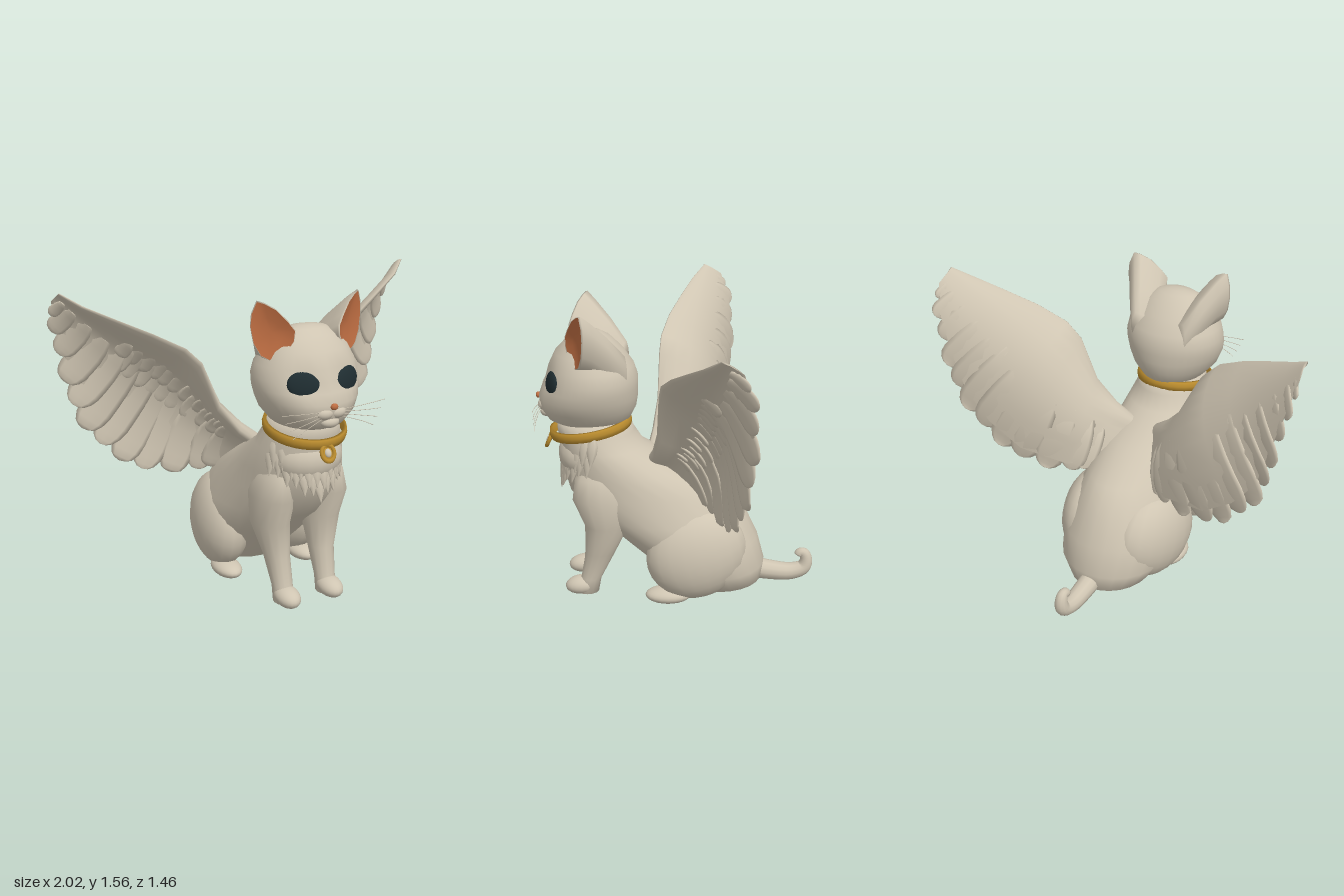
import * as THREE from 'three';

const mat = (name, color) => {
  const m = new THREE.MeshStandardMaterial({ color });
  m.name = name;
  return m;
};
const cream = mat('cream fur', 0xcfc5b2);
const orange = mat('ear orange', 0xbd6d42);
const gold = mat('collar gold', 0xb98b2e);
const dark = mat('eye dark', 0x1f2d31);

const V = (x, y, z) => new THREE.Vector3(x, y, z);
const mix = (p, q, t) => p.clone().lerp(q, t);

// closed skin over rows of points; winding follows the direction of the rows
function skin(rows, { start = true, end = true, flip = false } = {}) {
  const n = rows[0].length, pos = [], idx = [];
  const mid = row => row.reduce((s, p) => s.add(p), V(0, 0, 0)).divideScalar(n);
  rows.forEach(row => row.forEach(p => pos.push(p.x, p.y, p.z)));
  const k = rows.length >> 1, c = mid(rows[k]), area = V(0, 0, 0);
  rows[k].forEach((p, i) => area.add(p.clone().sub(c).cross(rows[k][(i + 1) % n].clone().sub(c))));
  const c0 = mid(rows[0]), c1 = mid(rows.at(-1));
  const ccw = (area.dot(c1.clone().sub(c0)) > 0) !== flip;
  const tri = (a, b, d) => (ccw ? idx.push(a, b, d) : idx.push(a, d, b));
  for (let r = 0; r < rows.length - 1; r++) for (let i = 0; i < n; i++) {
    const a = r * n + i, b = r * n + (i + 1) % n;
    tri(a, b, b + n);
    tri(a, b + n, a + n);
  }
  const cap = (centre, base, isEnd) => {
    const m = pos.length / 3;
    pos.push(centre.x, centre.y, centre.z);
    for (let i = 0; i < n; i++) {
      const p = base + i, q = base + (i + 1) % n;
      isEnd ? tri(m, p, q) : tri(m, q, p);
    }
  };
  if (start) cap(c0, 0, false);
  if (end) cap(c1, (rows.length - 1) * n, true);
  const g = new THREE.BufferGeometry();
  g.setAttribute('position', new THREE.Float32BufferAttribute(pos, 3));
  g.setIndex(idx);
  g.computeVertexNormals();
  return g;
}

// elliptical sections, each given as [centre, axisA, axisB]
const loft = (sections, sides = 16) => skin(sections.map(([c, a, b]) =>
  Array.from({ length: sides }, (_, i) => {
    const t = i / sides * Math.PI * 2;
    return c.clone().addScaledVector(a, Math.cos(t)).addScaledVector(b, Math.sin(t));
  })));

// horizontal sections [y, zBack, zFront, halfWidth, centreX]
const stack = (rows, s = 1, sides = 20) => loft(rows.map(([y, zb, zf, hw, cx = 0]) =>
  [V(s * cx, y, (zb + zf) / 2), V(hw, 0, 0), V(0, 0, (zf - zb) / 2)]), sides);

// thin blade along path(t), used for feathers and fur tufts; profile holds [t, width]
function blade(path, normal, w, thick, profile) {
  const a = path(1).sub(path(0)).cross(normal).normalize();
  return loft(profile.map(([t, k]) => [path(t), a.clone().multiplyScalar(w * k),
    normal.clone().multiplyScalar(thick * Math.min(1, k + 0.1))]), 8);
}
const FEATHER = [[0, 0.5], [0.2, 0.8], [0.4, 0.95], [0.6, 1], [0.75, 1], [0.86, 0.88], [0.94, 0.65], [0.985, 0.35], [1, 0.05]];
const TUFT = [[0, 0.5], [0.25, 1], [0.5, 0.9], [0.75, 0.5], [1, 0.04]];

// wing stations from shoulder to tip: leading edge, trailing edge, half thickness, camber
const WING = [
  [[0.05, 0.76, 0.15], [0.05, 0.58, 0.00], 0.04, 0],
  [[0.17, 0.85, 0.12], [0.20, 0.58, -0.13], 0.05, 0.04],
  [[0.28, 0.97, 0.10], [0.31, 0.54, -0.19], 0.045, 0.10],
  [[0.37, 1.19, 0.09], [0.58, 0.58, -0.25], 0.04, 0.14],
  [[0.45, 1.27, 0.08], [0.76, 0.72, -0.29], 0.035, 0.14],
  [[0.60, 1.35, 0.035], [0.88, 0.89, -0.315], 0.028, 0.11],
  [[0.75, 1.42, -0.03], [0.93, 1.11, -0.335], 0.022, 0.07],
  [[0.90, 1.49, -0.10], [0.98, 1.34, -0.33], 0.016, 0.035],
  [[0.99, 1.55, -0.17], [1.00, 1.49, -0.275], 0.008, 0.01]];
// thickness along the chord, with a rounded arm near the leading edge
const CHORD = [[0, 0.1], [0.03, 0.65], [0.09, 1], [0.18, 1], [0.27, 0.7], [0.36, 0.4], [0.5, 0.3], [0.7, 0.25], [0.93, 0.12]];

function makeWing(s, add) {
  const st = WING.map(([l, t, h, c]) => ({ L: V(s * l[0], l[1], l[2]), T: V(s * t[0], t[1], t[2]), h, c }));
  // section at station u: front normal and a point at chord fraction f
  const at = u => {
    const i = Math.min(st.length - 2, Math.floor(u)), t = u - i, A = st[i], B = st[i + 1];
    const L = mix(A.L, B.L, t), T = mix(A.T, B.T, t), camber = A.c + (B.c - A.c) * t;
    const span = B.L.clone().add(B.T).sub(A.L).sub(A.T);
    const n = span.cross(T.clone().sub(L)).normalize().multiplyScalar(-s);
    const pt = (f, lift = 0) => mix(L, T, f)
      .addScaledVector(n, lift - camber * Math.sin(Math.PI * Math.min(1, f) ** 0.9));
    return { n, pt };
  };
  add('wingSurface', skin(st.map(({ h }, i) => {
    const { pt } = at(i);
    return [...CHORD.map(([f, k]) => pt(f, -h * k * 0.6)), ...CHORD.toReversed().map(([f, k]) => pt(f, h * k))];
  })), cream);
  // broad flight feathers
  [1.25, 1.8, 2.4, 2.95, 3.5, 4.1, 4.7, 5.3, 5.9, 6.5, 7.05, 7.6].forEach((u, i) => {
    const { n, pt } = at(u);
    const w = [0.06, 0.07, 0.085, 0.09, 0.09, 0.09, 0.09, 0.085, 0.08, 0.065, 0.05, 0.03][i];
    add('flightFeather', blade(t => pt(0.4 + t * (i % 2 ? 0.61 : 0.64), 0.008), n, w, 0.01, FEATHER), cream);
  });
  // small covert feathers below the arm
  [[0.3, 0.56], [0.24, 0.43]].forEach(([f0, f1], row) => {
    for (let i = 0; i < 10; i++) {
      const { n, pt } = at(1.3 + (i + row * 0.5) * 0.42);
      add('covertFeather', blade(t => pt(f0 + t * (f1 - f0), 0.012 + row * 0.005), n, 0.042, 0.01, FEATHER), cream);
    }
  });
}

// ear outline: u runs outward, v upward
const EAR = [[0.07, 0.16], [0.095, 0.1], [0.1, 0.04], [0.085, -0.04], [0.05, -0.1], [0.01, -0.12],
  [-0.07, -0.085], [-0.105, -0.03], [-0.11, 0.02], [-0.075, 0.065], [-0.02, 0.12], [0.035, 0.15]];

function makeEar(s, add) {
  const c = 0.88, k = 0.47;
  const ring = (size, depth, drop = 0) => EAR.map(([u, v]) => V(
    s * (0.215 + u * size * c + depth * k), 1.4 + v * size + drop, 0.503 - u * size * k + depth * c));
  add('ear', skin([ring(0.95, -0.006), ring(0.98, 0.002), ring(1, -0.008), ring(0.92, -0.06, -0.028),
    ring(0.85, -0.15, -0.1), ring(0.72, -0.25, -0.19)], { start: false }), cream);
  add('innerEar', skin([ring(0.97, -0.001), ring(0.5, -0.016)], { start: false, flip: true }), orange);
}

// head with shallow eye sockets
function makeHead() {
  const g = stack([[0.93, 0.28, 0.58, 0.13], [0.97, 0.24, 0.665, 0.175], [1.03, 0.21, 0.702, 0.225],
    [1.09, 0.2, 0.708, 0.25], [1.14, 0.2, 0.69, 0.262], [1.19, 0.2, 0.67, 0.263], [1.25, 0.22, 0.652, 0.25],
    [1.32, 0.27, 0.618, 0.21], [1.38, 0.33, 0.56, 0.16], [1.41, 0.38, 0.52, 0.1], [1.42, 0.42, 0.48, 0.04]], 1, 36);
  const p = g.attributes.position;
  for (let i = 0; i < p.count; i++) if (p.getZ(i) > 0.5) {
    const d = Math.hypot((Math.abs(p.getX(i)) - 0.105) / 0.06, (p.getY(i) - 1.18) / 0.055);
    p.setZ(i, p.getZ(i) - 0.02 * Math.exp(-d * d));
  }
  g.computeVertexNormals();
  return g;
}

export function createModel() {
  const root = new THREE.Group();
  root.name = 'wingedCat';
  const add = (name, geo, material) => {
    const m = new THREE.Mesh(geo, material);
    m.name = name;
    root.add(m);
    return m;
  };
  const ball = (name, p, r, material = cream, rot = [0, 0, 0]) => {
    const m = add(name, new THREE.SphereGeometry(1, 20, 14), material);
    m.position.set(...p);
    m.scale.set(...r);
    m.rotation.set(...rot);
  };

  // torso and head
  add('torso', stack([[0.015, -0.4, -0.06, 0.14], [0.05, -0.455, 0.02, 0.22], [0.15, -0.47, 0.11, 0.285],
    [0.3, -0.43, 0.28, 0.315], [0.45, -0.36, 0.46, 0.29], [0.58, -0.27, 0.57, 0.255], [0.7, -0.05, 0.6, 0.24],
    [0.82, 0.17, 0.6, 0.215], [0.9, 0.22, 0.62, 0.185], [0.97, 0.25, 0.62, 0.165]], 1, 24), cream);
  add('head', makeHead(), cream);

  for (const s of [1, -1]) {
    // legs and paws
    add('frontLeg', stack([[0.76, 0.33, 0.48, 0.03, 0.13], [0.68, 0.26, 0.53, 0.08, 0.145],
      [0.57, 0.23, 0.545, 0.103, 0.15], [0.42, 0.25, 0.485, 0.098, 0.145], [0.25, 0.33, 0.487, 0.065, 0.13],
      [0.1, 0.405, 0.515, 0.053, 0.125], [0.02, 0.42, 0.54, 0.055, 0.125]], s, 14), cream);
    ball('frontPaw', [s * 0.125, 0.055, 0.51], [0.062, 0.05, 0.09], cream, [0.12, 0, 0]);
    ball('haunch', [s * 0.19, 0.27, -0.1], [0.152, 0.25, 0.27], cream, [0.25, s * 0.2, 0]);
    ball('hindPaw', [s * 0.23, 0.047, 0.05], [0.072, 0.044, 0.12]);
    // face
    makeEar(s, add);
    ball('eye', [s * 0.117, 1.18, 0.628], [0.079, 0.064, 0.022], dark, [-0.18, s * 0.36, s * 0.28]);
    ball('muzzle', [s * 0.033, 1.047, 0.676], [0.048, 0.032, 0.036]);
    for (let i = 0; i < 4; i++) {
      const path = new THREE.QuadraticBezierCurve3(V(s * 0.06, 1.06 - i * 0.012, 0.695),
        V(s * 0.16, 1.07 - i * 0.025, 0.72), V(s * (0.28 - i * 0.02), 1.08 - i * 0.04, 0.712));
      add('whisker', new THREE.TubeGeometry(path, 10, 0.0015, 5), cream);
    }
    makeWing(s, add);
  }
  ball('nose', [0, 1.083, 0.711], [0.019, 0.016, 0.014], orange);
  ball('chin', [0, 1.0, 0.67], [0.05, 0.03, 0.036]);

  // chest fur with a jagged lower edge
  for (let row = 0; row < 2; row++) for (let i = -6; i <= 6; i++) {
    const k = (i + row * 0.5) / 6.5, phi = k * 1.1, out = V(Math.sin(phi), 0, Math.cos(phi));
    const tip = 0.57 + 0.14 * Math.abs(k) + row * 0.05 + (i % 2 ? 0.02 : 0);
    const on = (y, off) => V(Math.sin(phi) * (0.22 + off), y, 0.3 + Math.cos(phi) * (0.29 + off));
    const p = on(tip + 0.15, -0.012), q = on(tip, 0.022);
    add('chestTuft', blade(t => mix(p, q, t), out, 0.034, 0.018, TUFT), cream);
  }
  ball('chestRuff', [0, 0.77, 0.46], [0.19, 0.14, 0.16]);

  // collar and pendant
  const band = [[0.185, -0.024], [0.2, -0.024], [0.205, 0], [0.2, 0.024], [0.185, 0.024], [0.185, -0.024]];
  const collar = add('collar', new THREE.LatheGeometry(band.map(p => new THREE.Vector2(...p)), 32), gold);
  collar.position.set(0, 0.918, 0.448);
  collar.rotation.x = 0.17;
  collar.scale.z = 1.06;
  const ringMesh = add('pendantRing', new THREE.TorusGeometry(0.034, 0.01, 8, 20), gold);
  ringMesh.position.set(0, 0.842, 0.665);
  ringMesh.rotation.x = -0.4;
  ringMesh.scale.y = 1.15;
  ball('pendantPlate', [0, 0.842, 0.66], [0.033, 0.038, 0.008], gold, [-0.4, 0, 0]);
  ball('pendantGem', [0, 0.842, 0.665], [0.018, 0.022, 0.014], cream, [-0.4, 0, 0]);

  // tail with a curled end
  const tail = new THREE.CatmullRomCurve3([V(0, 0.1, -0.36), V(0, 0.07, -0.5), V(0, 0.06, -0.62), V(0, 0.085, -0.69),
    V(0, 0.13, -0.703), V(0, 0.17, -0.69), V(0, 0.172, -0.668), V(0, 0.155, -0.66)]);
  add('tail', loft(Array.from({ length: 25 }, (_, i) => {
    const t = i / 24, r = (0.06 - 0.035 * Math.min(1, t * 1.3)) * (t > 0.97 ? 0.6 : 1);
    return [tail.getPoint(t), V(r, 0, 0), tail.getTangent(t).cross(V(1, 0, 0)).multiplyScalar(r)];
  }), 12), cream);
  return root;
}
